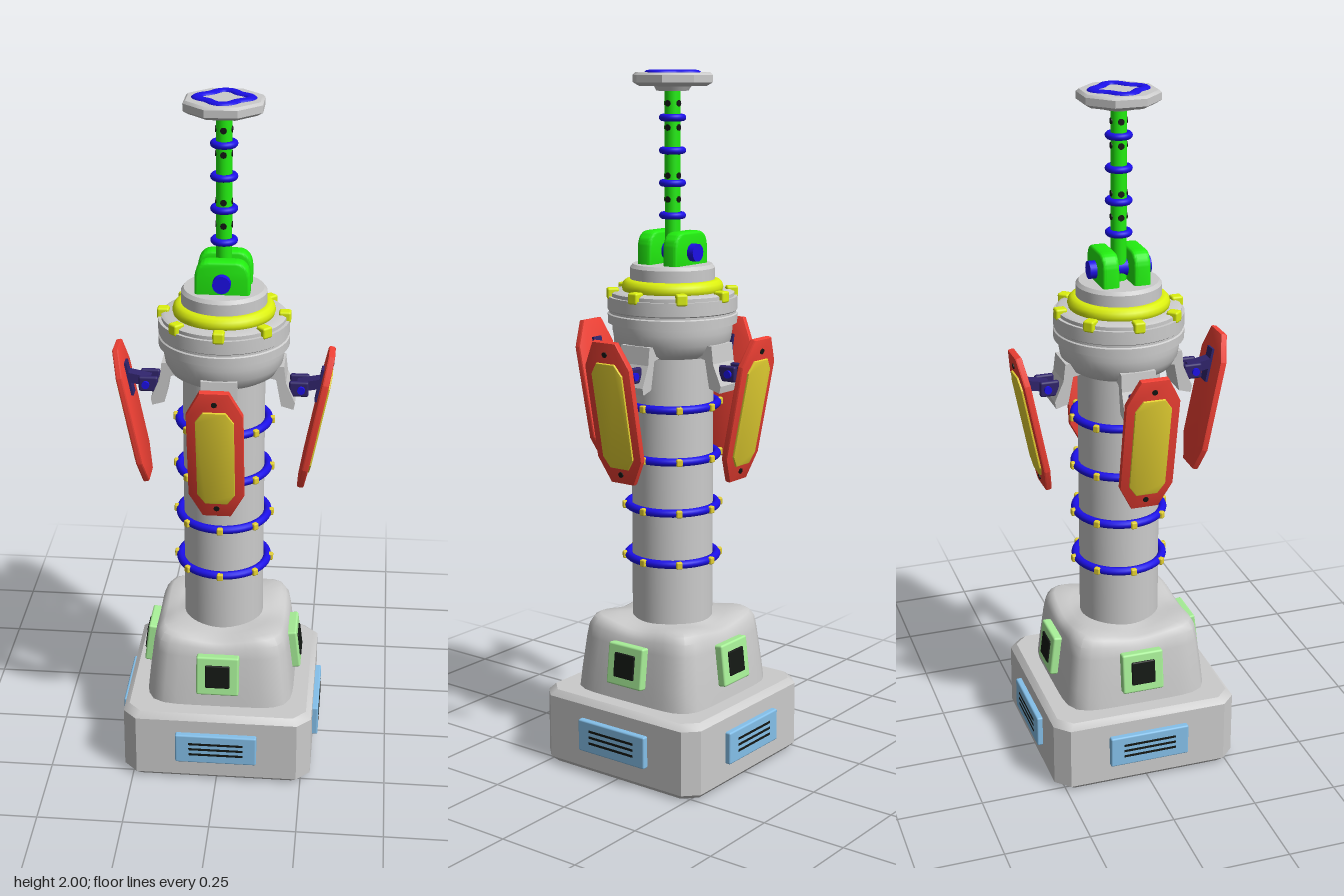
import * as THREE from 'three';
import { toCreasedNormals } from 'three/addons/utils/BufferGeometryUtils.js';
import { RoundedBoxGeometry } from 'three/addons/geometries/RoundedBoxGeometry.js';

const mat = (color) => new THREE.MeshStandardMaterial({ color });
const M = {
  grey: mat(0xcccccc), red: mat(0xf04034), yellow: mat(0xe6d232), lime: mat(0xdcf010),
  navy: mat(0x30246c), blue: mat(0x1c10e8), green: mat(0x22ee10), mint: mat(0xa8f098),
  sky: mat(0x84c0ea), black: mat(0x141814),
};

function add(parent, name, geo, material, x = 0, y = 0, z = 0) {
  const m = new THREE.Mesh(geo, material);
  m.name = name;
  m.position.set(x, y, z);
  parent.add(m);
  return m;
}

// Skin over rings of [x, y, z] points, from bottom to top
function loft(rings) {
  const n = rings[0].length, idx = [];
  for (let i = 0; i < rings.length - 1; i++)
    for (let j = 0; j < n; j++) {
      const k = (j + 1) % n, a = i * n + j, b = i * n + k;
      idx.push(a, a + n, b + n, a, b + n, b);
    }
  const g = new THREE.BufferGeometry();
  g.setAttribute('position', new THREE.Float32BufferAttribute(rings.flat(2), 3));
  g.setIndex(idx);
  return toCreasedNormals(g, 0.6);
}

// Square ring with cut corners
const cutSquare = (h, c, y) => [[h, c - h], [h, h - c], [h - c, h], [c - h, h],
  [-h, h - c], [-h, c - h], [c - h, -h], [h - c, -h]].map(([x, z]) => [x, y, z]);

// Soft square ring whose sides sag below its corners
function softSquare(h, y, sag = 0, p = 6) {
  return Array.from({ length: 48 }, (_, i) => {
    const a = i / 48 * Math.PI * 2, c = Math.cos(a), s = Math.sin(a);
    const r = h / Math.pow(Math.abs(c) ** p + Math.abs(s) ** p, 1 / p);
    return [r * c, y - sag * Math.cos(2 * a) ** 2, r * s];
  });
}

const lathe = (pts, seg = 48) =>
  toCreasedNormals(new THREE.LatheGeometry(pts.map(([r, y]) => new THREE.Vector2(r, y)), seg), 0.6);

// Bevelled plate with cut corners, centred, thickness along z
function plate(w, h, cx, cy, depth, bevel) {
  const W = w / 2 - bevel, H = h / 2 - bevel;
  const s = new THREE.Shape([[W, cy - H], [W, H - cy], [W - cx, H], [cx - W, H],
    [-W, H - cy], [-W, cy - H], [cx - W, -H], [W - cx, -H]].map(([x, y]) => new THREE.Vector2(x, y)));
  const g = new THREE.ExtrudeGeometry(s, { depth: depth - 2 * bevel, bevelSize: bevel,
    bevelThickness: bevel, bevelSegments: 2 });
  return toCreasedNormals(g.translate(0, 0, bevel - depth / 2), 0.5);
}

const torus = (r, t) => new THREE.TorusGeometry(r, t, 12, 48).rotateX(Math.PI / 2);
const box = (w, h, d) => new THREE.BoxGeometry(w, h, d);

// One side of the model, built facing +z
function buildSide() {
  const g = new THREE.Group();

  // Vent on the base
  add(g, 'ventPlate', new RoundedBoxGeometry(0.24, 0.095, 0.03, 2, 0.005), M.sky, 0, 0.117, 0.28);
  for (const y of [0.1, 0.118, 0.136]) add(g, 'ventSlot', box(0.16, 0.007, 0.004), M.black, 0, y, 0.294);

  // Window on the plinth
  const win = new THREE.Group();
  win.name = 'window';
  win.position.set(0, 0.33, 0.212);
  win.rotation.x = -0.12;
  add(win, 'windowFrame', new RoundedBoxGeometry(0.125, 0.122, 0.035, 2, 0.006), M.mint);
  add(win, 'windowPane', new RoundedBoxGeometry(0.072, 0.072, 0.012, 2, 0.004), M.black, 0, 0, 0.016);
  g.add(win);

  // Bracket under the head
  const s = new THREE.Shape([[0.1, 1.25], [0.172, 1.25], [0.178, 1.2], [0.204, 1.14], [0.2, 1.12],
    [0.165, 1.13], [0.15, 1.21], [0.1, 1.22]].map(([x, y]) => new THREE.Vector2(x, y)));
  const bracket = new THREE.ExtrudeGeometry(s, { depth: 0.1, bevelEnabled: false });
  add(g, 'bracket', bracket.translate(0, 0, -0.05).rotateY(-Math.PI / 2), M.grey);

  // Hinge and arm
  for (const x of [-0.027, 0.027]) add(g, 'hingeLug', new RoundedBoxGeometry(0.016, 0.045, 0.055, 2, 0.006), M.navy, x, 1.175, 0.213);
  add(g, 'hingePin', new THREE.CylinderGeometry(0.011, 0.011, 0.086, 16).rotateZ(Math.PI / 2), M.blue, 0, 1.175, 0.22);
  const arm = add(g, 'arm', box(0.036, 0.028, 0.072), M.navy, 0, 1.182, 0.246);
  arm.rotation.x = -0.2;

  // Leaning shield, top outwards
  const shield = new THREE.Group();
  shield.name = 'shield';
  shield.position.set(0, 1.075, 0.263);
  shield.rotation.x = 0.195;
  add(shield, 'shieldPlate', plate(0.155, 0.418, 0.036, 0.07, 0.02, 0.005), M.red);
  add(shield, 'shieldInset', plate(0.105, 0.31, 0.02, 0.03, 0.012, 0.003), M.yellow, 0, -0.006, 0.01);
  add(shield, 'armPad', box(0.036, 0.1, 0.01), M.navy, 0, 0.105, -0.012);
  for (const y of [-0.18, 0.174])
    add(shield, 'shieldBolt', new THREE.CylinderGeometry(0.008, 0.008, 0.006, 12).rotateX(Math.PI / 2), M.black, 0, y, 0.01);
  g.add(shield);

  // Holes in the mast
  for (let i = 0; i < 5; i++)
    add(g, 'mastHole', new THREE.CylinderGeometry(0.009, 0.009, 0.004, 12).rotateX(Math.PI / 2), M.black, 0, 1.645 + i * 0.066, 0.0215);
  return g;
}

export function createModel() {
  const root = new THREE.Group();

  // Base and plinth
  add(root, 'base', loft([cutSquare(0.001, 0.0005, 0), cutSquare(0.262, 0.038, 0), cutSquare(0.278, 0.04, 0.016),
    cutSquare(0.278, 0.04, 0.205), cutSquare(0.262, 0.038, 0.222), cutSquare(0.001, 0.0005, 0.222)]), M.grey);
  add(root, 'plinth', loft([softSquare(0.218, 0.22), softSquare(0.212, 0.28), softSquare(0.2, 0.38, 0.005),
    softSquare(0.194, 0.415, 0.012), softSquare(0.183, 0.434, 0.018), softSquare(0.17, 0.442, 0.02),
    softSquare(0.14, 0.438, 0.012, 3), softSquare(0.11, 0.435, 0, 2)]), M.grey);

  // Column and head
  add(root, 'column', lathe([[0, 0.4], [0.117, 0.4], [0.117, 1.24], [0, 1.24]]), M.grey);
  add(root, 'head', lathe([[0, 1.21], [0.13, 1.21], [0.15, 1.222], [0.166, 1.25], [0.171, 1.28], [0.171, 1.3],
    [0.184, 1.3], [0.184, 1.325], [0.18, 1.328], [0.18, 1.334], [0.184, 1.337], [0.184, 1.375],
    [0.175, 1.375], [0.175, 1.385], [0.165, 1.39], [0.12, 1.39], [0.12, 1.455], [0.112, 1.465], [0, 1.465]]), M.grey);
  add(root, 'headRing', torus(0.121, 0.023), M.lime, 0, 1.4);

  // Studs around the head, and ringed column with small studs
  for (let i = 0; i < 8; i++) {
    const a = i * Math.PI / 4;
    const stud = add(root, 'headStud', new RoundedBoxGeometry(0.032, 0.032, 0.034, 2, 0.006), M.lime,
      0.17 * Math.sin(a), 1.383, 0.17 * Math.cos(a));
    stud.rotation.y = a;
  }
  for (const y of [0.617, 0.768, 0.917, 1.066]) {
    add(root, 'columnRing', torus(0.128, 0.012), M.blue, 0, y);
    for (let i = 0; i < 8; i++) {
      const a = i * Math.PI / 4;
      const stud = add(root, 'ringStud', new RoundedBoxGeometry(0.018, 0.021, 0.022, 1, 0.004), M.yellow,
        0.135 * Math.sin(a), y, 0.135 * Math.cos(a));
      stud.rotation.y = a;
    }
  }

  // Mast clamp
  for (const z of [-0.045, 0.045]) {
    const cheek = new THREE.Shape();
    cheek.moveTo(-0.068, 1.46).lineTo(0.068, 1.46).lineTo(0.068, 1.51).quadraticCurveTo(0.066, 1.55, 0.035, 1.55)
      .lineTo(-0.035, 1.55).quadraticCurveTo(-0.066, 1.55, -0.068, 1.51);
    const geo = new THREE.ExtrudeGeometry(cheek, { depth: 0.028, bevelSize: 0.008, bevelThickness: 0.01, bevelSegments: 3 });
    add(root, 'clampCheek', toCreasedNormals(geo.translate(0, 0, -0.014), 0.6), M.green, 0, 0, z);
  }
  add(root, 'clampPin', new THREE.CylinderGeometry(0.025, 0.025, 0.178, 24).rotateX(Math.PI / 2), M.blue, 0, 1.5);

  // Mast
  add(root, 'mast', new THREE.CylinderGeometry(0.022, 0.022, 0.49, 24), M.green, 0, 1.71);
  for (const y of [1.6, 1.69, 1.78, 1.87]) add(root, 'mastRing', torus(0.028, 0.01), M.blue, 0, y);
  add(root, 'mastCollar', new THREE.CylinderGeometry(0.055, 0.045, 0.018, 24), M.grey, 0, 1.952);

  // Eight-sided cap with a wavy ring
  const oct = (h, y) => cutSquare(h, h * (2 - Math.SQRT2), y);
  add(root, 'cap', loft([oct(0.001, 1.956), oct(0.09, 1.956), oct(0.106, 1.966), oct(0.106, 1.986),
    oct(0.099, 1.993), oct(0.001, 1.993)]), M.grey);
  const wave = Array.from({ length: 32 }, (_, i) => {
    const a = i / 32 * Math.PI * 2, r = 0.064 + 0.009 * Math.cos(4 * a);
    return new THREE.Vector3(r * Math.cos(a), 0, r * Math.sin(a));
  });
  const ring = new THREE.TubeGeometry(new THREE.CatmullRomCurve3(wave, true), 96, 0.015, 10, true);
  add(root, 'capRing', ring.scale(1, 0.55, 1), M.blue, 0, 1.9918);

  // Four equal sides
  ['front', 'left', 'back', 'right'].forEach((name, i) => {
    const side = buildSide();
    side.name = name + 'Side';
    side.rotation.y = i * Math.PI / 2;
    root.add(side);
  });
  return root;
}
